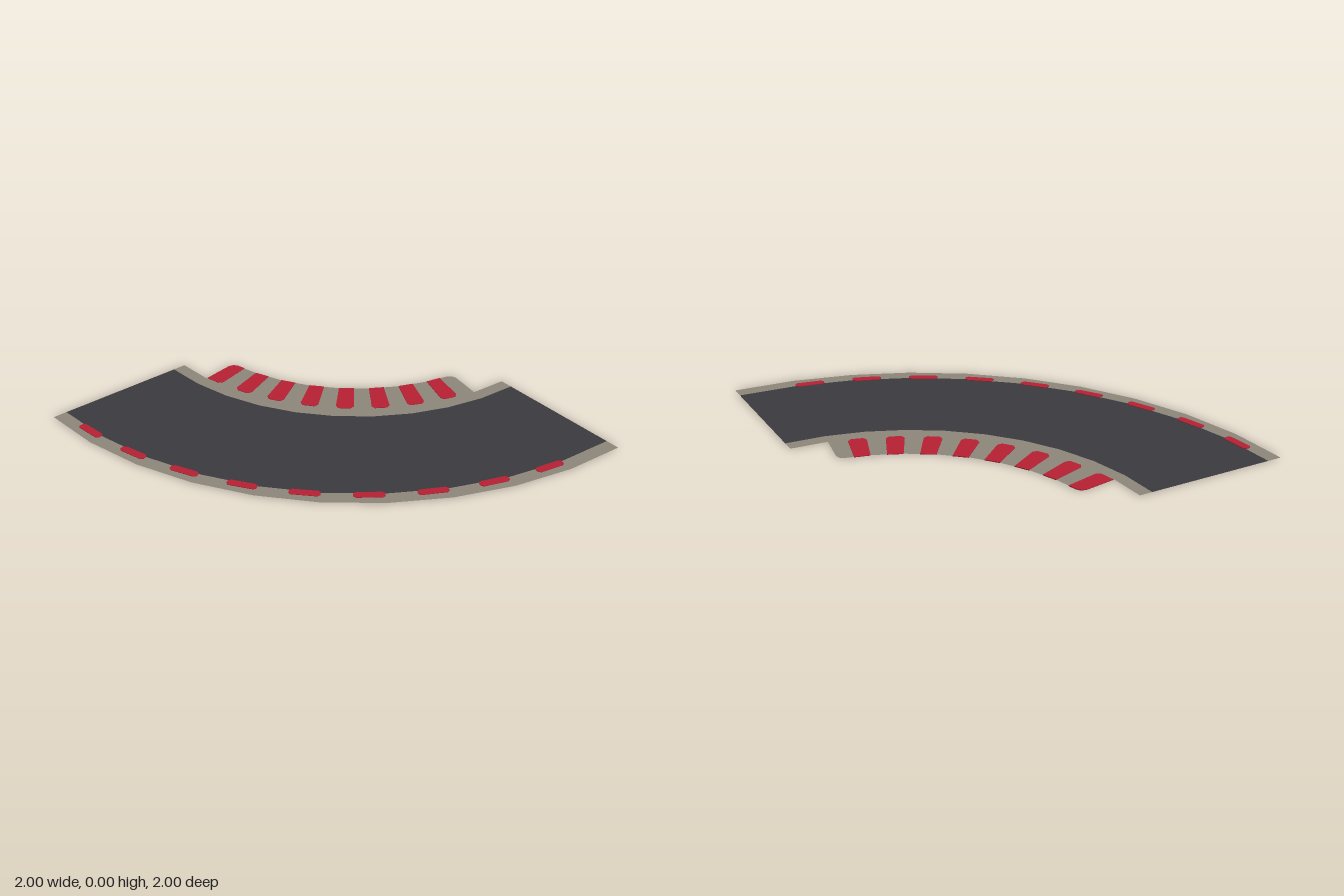
import * as THREE from 'three';

const STEP = 9; // degrees per straight segment of the bend

// Point on the bend: angle in degrees, radius from the bend centre at x = 1, z = -1
function polar([angle, radius]) {
  const a = THREE.MathUtils.degToRad(angle);
  return new THREE.Vector2(1 - radius * Math.cos(a), 1 - radius * Math.sin(a));
}

// Points along a faceted arc, one every STEP degrees
function arc(radius, from, to) {
  const n = Math.round(Math.abs(to - from) / STEP);
  return Array.from({ length: n + 1 }, (_, i) => [from + ((to - from) * i) / n, radius]);
}

const ring = (inner, outer) => [...arc(inner, 0, 90), ...arc(outer, 90, 0)];

export function createModel() {
  const group = new THREE.Group();
  const flat = (name, color) =>
    new THREE.MeshStandardMaterial({ name, color, side: THREE.DoubleSide });
  const asphalt = flat('asphalt', 0x3b3a40);
  const concrete = flat('concrete', 0x8f877a);
  const red = flat('kerb red', 0xb82034);

  // Flat sheet, or a thin plate showing on both sides of the sheet
  function add(name, points, material, plate = false, parent = group) {
    const shape = new THREE.Shape(points.map(polar));
    const geometry = plate
      ? new THREE.ExtrudeGeometry(shape, { depth: 0.004, bevelEnabled: false })
      : new THREE.ShapeGeometry(shape).translate(0, 0, 0.002);
    geometry.rotateX(-Math.PI / 2);
    const mesh = new THREE.Mesh(geometry, material);
    mesh.name = name;
    parent.add(mesh);
  }

  // Road surface and its two edge strips
  add('road', ring(1.267, 1.926), asphalt);
  add('innerEdge', ring(1.2, 1.267), concrete);
  add('outerEdge', ring(1.926, 2), concrete);

  // Wide kerb on the inside of the bend, with clipped corners
  add('innerKerb', [
    ...arc(1.2, 9, 81),
    [81, 1.035], [80.4, 1.01], [79.2, 1],
    ...arc(1, 72, 18),
    [10.8, 1], [9.6, 1.01], [9, 1.035],
  ], concrete);

  // Red bars across the inner kerb
  const innerStripes = new THREE.Group();
  innerStripes.name = 'innerStripes';
  group.add(innerStripes);
  for (let i = 0; i < 8; i++) {
    const a = STEP * (i + 1);
    const b = a + STEP / 2;
    const start = i === 0
      ? [[a, 1.195], [a, 1.035], [a + 0.6, 1.01], [a + 1.8, 1]]
      : [[a + 0.8, 1.192], [a, 1.172], [a, 1]];
    add('innerStripe', [...start, [b, 0.997], [b, 1.172], [b - 0.8, 1.192]],
      red, true, innerStripes);
  }

  // Short red dashes along the outer edge
  const outerStripes = new THREE.Group();
  outerStripes.name = 'outerStripes';
  group.add(outerStripes);
  for (let i = 0; i < 9; i++) {
    const a = STEP * (i + 0.5);
    const b = a + STEP / 2;
    const c = 0.4;
    add('outerStripe', [
      [a, 1.925], [a + c, 1.913], [b - c, 1.913], [b, 1.925],
      [b, 1.945], [b - c, 1.956], [a + c, 1.956], [a, 1.945],
    ], red, true, outerStripes);
  }

  return group;
}
